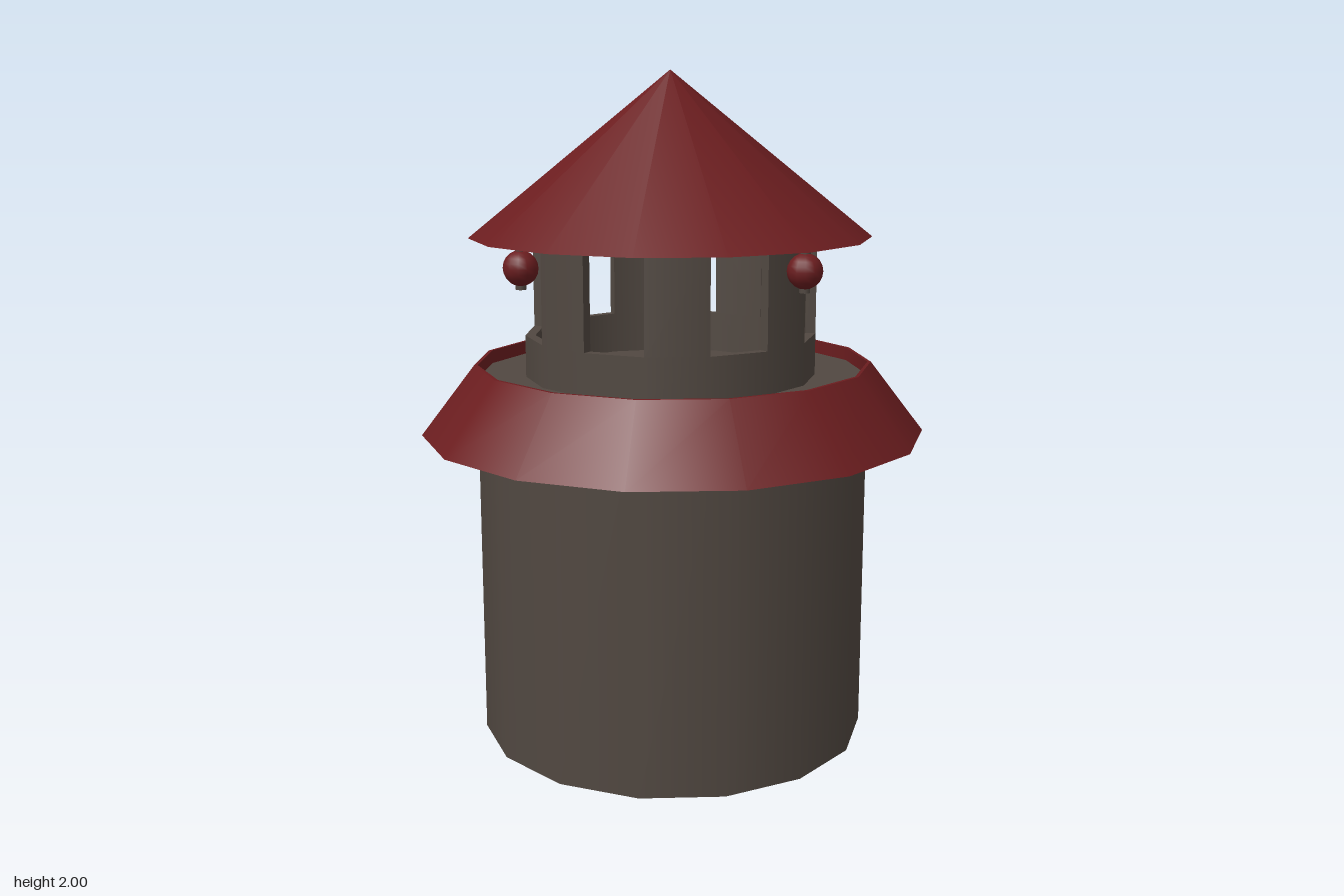
import * as THREE from 'three';

const SIDES = 15;
const STEP = (Math.PI * 2) / SIDES;
const START = THREE.MathUtils.degToRad(16.8);

export function createModel() {
  const model = new THREE.Group();
  model.name = 'tower';
  const red = new THREE.MeshStandardMaterial({ name: 'roofRed', color: 0x6b1d1f, side: THREE.DoubleSide });
  const stone = new THREE.MeshStandardMaterial({ name: 'stoneGrey', color: 0x514841, side: THREE.DoubleSide });

  // Base and lantern room stand on axes slightly off the origin
  const group = (name, x) => {
    const g = new THREE.Group();
    g.name = name;
    g.position.x = x;
    model.add(g);
    return g;
  };
  const base = group('base', -0.005);
  const lantern = group('lanternRoom', -0.012);

  const add = (parent, name, geometry, material) => {
    const mesh = new THREE.Mesh(geometry, material);
    mesh.name = name;
    parent.add(mesh);
  };
  // Fifteen-sided drum, cone or part of one, between two heights
  const drum = (parent, name, rTop, rBottom, y0, y1, material, open = true, first = 0, count = SIDES) => {
    const g = new THREE.CylinderGeometry(rTop, rBottom, y1 - y0, count, 1, open, START + first * STEP, count * STEP);
    add(parent, name, g.translate(0, (y0 + y1) / 2, 0), material);
  };
  // Flat ring at a height, facing up (1) or down (-1)
  const flatRing = (parent, name, rIn, rOut, y, facing, material) => {
    const g = new THREE.RingGeometry(rIn, rOut, SIDES, 1, facing * (START - Math.PI / 2));
    add(parent, name, g.rotateX(-facing * Math.PI / 2).translate(0, y, 0), material);
  };

  // Main drum; its top is the sunken deck
  drum(base, 'towerBody', 0.587, 0.587, 0, 1.105, stone, false);

  // Flared skirt roof wrapped round the drum, rising a little above the deck
  drum(base, 'skirtRoof', 0.595, 0.755, 0.937, 1.145, red);
  drum(base, 'skirtInnerWall', 0.585, 0.585, 1.1, 1.145, red);
  flatRing(base, 'skirtTopEdge', 0.585, 0.595, 1.145, 1, red);
  drum(base, 'skirtUnderside', 0.587, 0.755, 0.937, 0.985, red);

  // Lantern room: solid bands below and above the windows
  const R = 0.435, RI = 0.405, SILL = 1.23, HEAD = 1.51;
  for (const [name, y0, y1] of [['sillBand', 1.105, SILL], ['headBand', HEAD, 1.6]]) {
    drum(lantern, name + 'Outer', R, R, y0, y1, stone);
    drum(lantern, name + 'Inner', RI, RI, y0, y1, stone);
  }
  flatRing(lantern, 'windowSill', RI, R, SILL, 1, stone);
  flatRing(lantern, 'lanternCeiling', 0, R, HEAD, -1, stone);

  // Posts between the windows, with one double-width opening
  for (const k of [1, 3, 5, 7, 9, 12, 14]) {
    drum(lantern, 'postOuter', R, R, SILL, HEAD, stone, true, k, 1);
    drum(lantern, 'postInner', RI, RI, SILL, HEAD, stone, true, k, 1);
    for (const edge of [k, k + 1]) {
      const jamb = new THREE.PlaneGeometry(R - RI, HEAD - SILL);
      jamb.translate((R + RI) / 2, (SILL + HEAD) / 2, 0);
      jamb.rotateY(START + edge * STEP - Math.PI / 2);
      add(lantern, 'postSide', jamb, stone);
    }
  }

  // Hollow conical roof
  drum(lantern, 'coneRoof', 0, 0.596, 1.52, 2, red);

  // Hanging balls under the eaves on short rods
  for (const [x, z] of [[-0.415, 0.325], [0.37, 0.366], [0.385, -0.33], [-0.31, -0.43]]) {
    const lamp = new THREE.Group();
    lamp.name = 'hangingBall';
    lamp.position.set(x, 1.46, z);
    add(lamp, 'ball', new THREE.SphereGeometry(0.05, 12, 10), red);
    add(lamp, 'rod', new THREE.CylinderGeometry(0.015, 0.015, 0.12, 8), stone);
    model.add(lamp);
  }
  return model;
}
